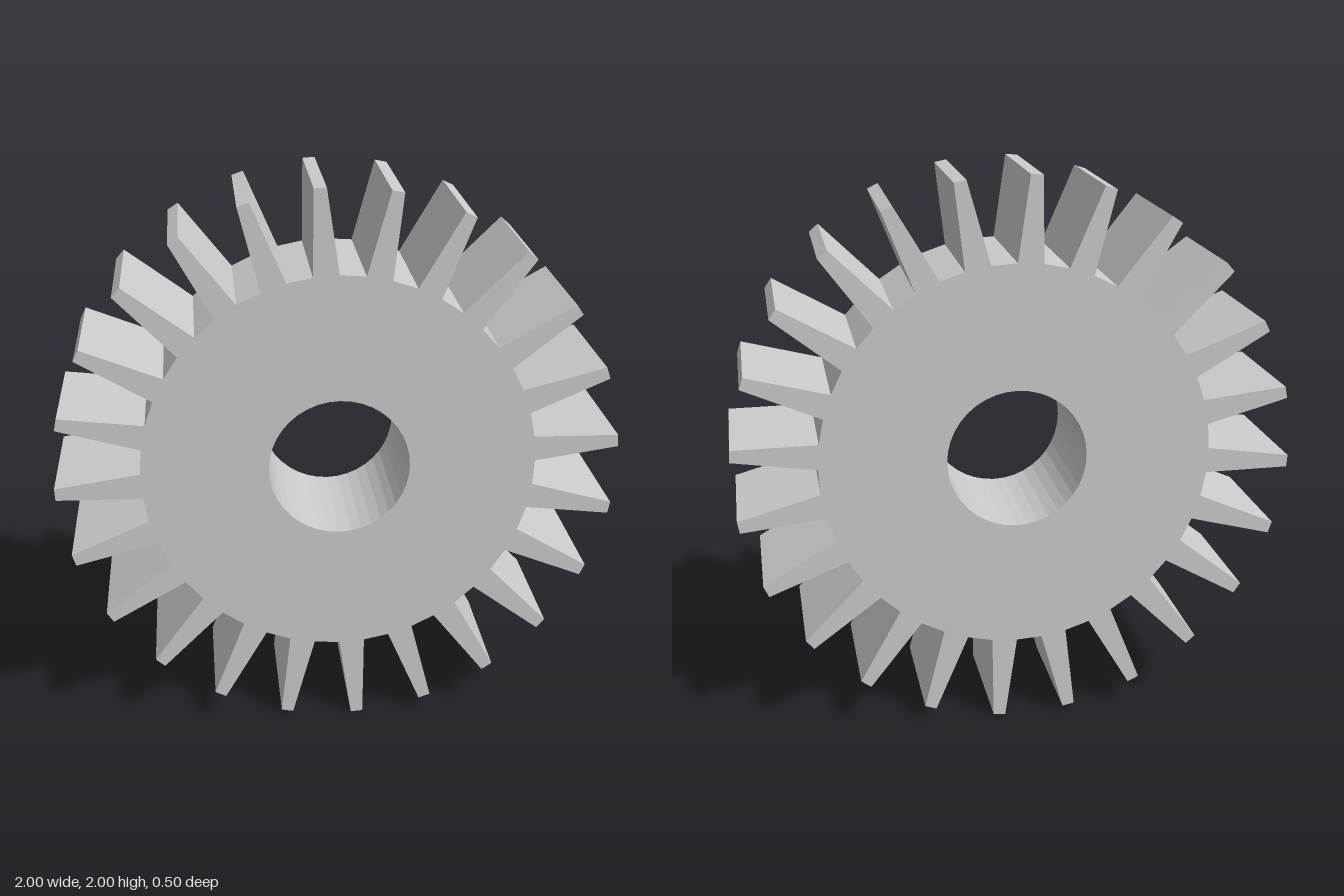
import * as THREE from 'three';

const TEETH = 24;
const TIP_RADIUS = 1.001;
const ROOT_RADIUS = 0.7;
const BORE_RADIUS = 0.25;
const WIDTH = 0.5;
const BORE_SIDES = 40;

const polar = (radius, degrees) => {
  const a = THREE.MathUtils.degToRad(degrees);
  return new THREE.Vector2(radius * Math.cos(a), radius * Math.sin(a));
};

export function createModel() {
  const group = new THREE.Group();
  group.name = 'gear';

  // Outline: each tooth tapers from a half-pitch root to a narrow flat tip
  const pitch = 360 / TEETH;
  const outline = [];
  for (let i = 0; i < TEETH; i++) {
    const start = i * pitch;
    outline.push(
      polar(ROOT_RADIUS, start),
      polar(TIP_RADIUS, start + pitch / 6),
      polar(TIP_RADIUS, start + pitch / 3),
      polar(ROOT_RADIUS, start + pitch / 2),
    );
  }
  const shape = new THREE.Shape(outline);

  // Round bore through the middle
  const bore = [];
  for (let i = 0; i < BORE_SIDES; i++) bore.push(polar(BORE_RADIUS, (-i * 360) / BORE_SIDES));
  shape.holes.push(new THREE.Path(bore));

  const geometry = new THREE.ExtrudeGeometry(shape, { depth: WIDTH, bevelEnabled: false });
  geometry.translate(0, 1, -WIDTH / 2);

  const wheel = new THREE.Mesh(
    geometry,
    new THREE.MeshStandardMaterial({ color: 0xcccccc, flatShading: true }),
  );
  wheel.name = 'toothedWheel';
  group.add(wheel);
  return group;
}
